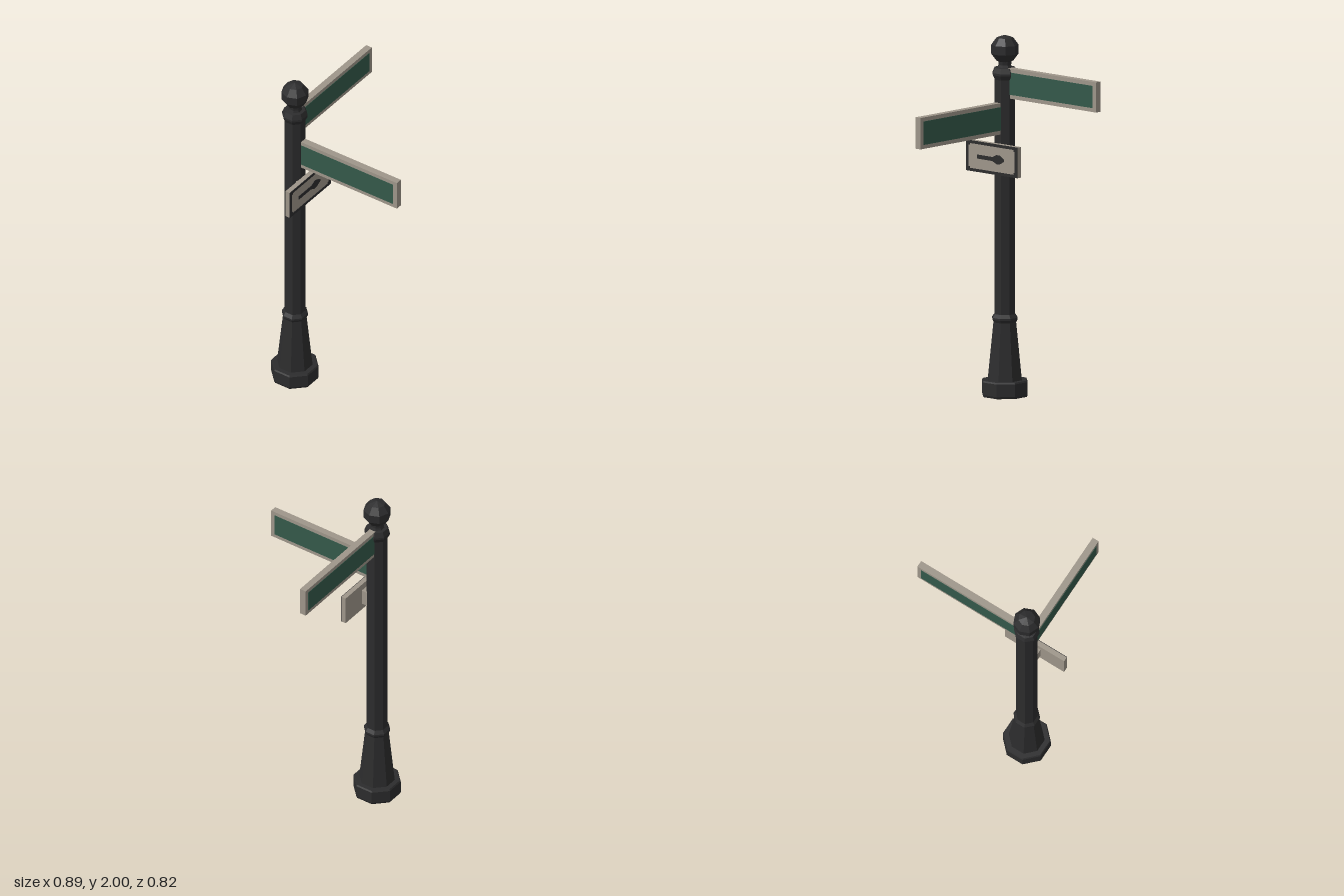
import * as THREE from 'three';

const black = new THREE.MeshStandardMaterial({ color: 0x2c2c2d });
const stone = new THREE.MeshStandardMaterial({ color: 0x9e968a });
const green = new THREE.MeshStandardMaterial({ color: 0x34594a });
black.name = 'blackIron';
stone.name = 'stoneGrey';
green.name = 'signGreen';

const POST_X = -0.254, POST_Z = -0.287;

function add(parent, name, geometry, material, x = 0, y = 0, z = 0) {
  const mesh = new THREE.Mesh(geometry, material);
  mesh.name = name;
  mesh.position.set(x, y, z);
  parent.add(mesh);
  return mesh;
}

// Faceted octagonal turning; pairs are [distance to flat, height]
function octagon(profile) {
  const k = 1 / Math.cos(Math.PI / 8);
  const pts = profile.map(([r, y]) => new THREE.Vector2(r * k, y));
  const g = new THREE.LatheGeometry(pts, 8, Math.PI / 8).toNonIndexed();
  g.computeVertexNormals();
  return g;
}

// Street blade along local +x from the post axis, green panel on both faces
function blade(name, length, height) {
  const g = new THREE.Group();
  g.name = name;
  add(g, 'bladeFrame', new THREE.BoxGeometry(length, height, 0.038), stone, length / 2);
  const start = 0.03, end = length - 0.024;
  for (const s of [1, -1]) {
    add(g, 'bladePanel', new THREE.BoxGeometry(end - start, height - 0.044, 0.004), green,
      (start + end) / 2, 0, s * 0.019);
  }
  return g;
}

function shapeOf(points) {
  return new THREE.Shape(points.map(([x, y]) => new THREE.Vector2(x, y)));
}

function plate(shape) {
  return new THREE.ExtrudeGeometry(shape, { depth: 0.003, bevelEnabled: false });
}

export function createModel() {
  const model = new THREE.Group();
  model.name = 'signpost';

  const post = new THREE.Group();
  post.name = 'post';
  post.position.set(POST_X, 0, POST_Z);
  model.add(post);

  // Plinth, tapered skirt and shaft
  add(post, 'plinth', octagon([[0, 0], [0.118, 0], [0.123, 0.012], [0.123, 0.082], [0.118, 0.09], [0, 0.09]]), black);
  add(post, 'skirt', octagon([[0.092, 0.088], [0.061, 0.41], [0.068, 0.425], [0.068, 0.435], [0.055, 0.455]]), black);
  add(post, 'shaft', octagon([[0.055, 0.44], [0.055, 1.76]]), black);

  // Collar, neck and ball
  add(post, 'collar', octagon([[0.055, 1.755], [0.066, 1.78], [0.066, 1.792], [0.055, 1.82], [0.038, 1.822],
    [0.034, 1.835], [0.036, 1.865], [0, 1.87]]), black);
  const ball = new THREE.SphereGeometry(0.079, 8, 5).toNonIndexed();
  ball.computeVertexNormals();
  add(post, 'ball', ball, black, 0, 1.921, 0);

  // Two blades at right angles
  const sideBlade = blade('sideBlade', 0.697, 0.167);
  sideBlade.position.y = 1.738;
  const frontBlade = blade('frontBlade', 0.697, 0.174);
  frontBlade.position.y = 1.543;
  frontBlade.rotation.y = -Math.PI / 2;
  post.add(sideBlade, frontBlade);

  // Direction sign on a bracket
  const sign = new THREE.Group();
  sign.name = 'directionSign';
  sign.position.set(-0.2555, 1.325, -0.198);
  model.add(sign);
  add(sign, 'signBoard', new THREE.BoxGeometry(0.384, 0.17, 0.028), stone);
  add(sign, 'bracket', new THREE.BoxGeometry(0.08, 0.09, 0.05), stone, 0, 0, -0.03);

  // Painted border with notched inner corners
  const border = shapeOf([[-0.192, -0.085], [0.192, -0.085], [0.192, 0.085], [-0.192, 0.085]]);
  const w = 0.173, h = 0.069, n = 0.01;
  border.holes.push(shapeOf([
    [-w + n, -h], [-w + n, -h + n], [-w, -h + n], [-w, h - n], [-w + n, h - n], [-w + n, h],
    [w - n, h], [w - n, h - n], [w, h - n], [w, -h + n], [w - n, -h + n], [w - n, -h],
  ]));
  add(sign, 'signBorder', plate(border), black, 0, 0, 0.0135);

  // Arrow pointing to the model's left
  const arrow = shapeOf([
    [-0.108, -0.011], [0.006, -0.011], [0.036, -0.025], [0.058, -0.025], [0.092, -0.006],
    [0.092, 0.006], [0.058, 0.025], [0.036, 0.025], [0.006, 0.011], [-0.108, 0.011],
  ]);
  add(sign, 'arrow', plate(arrow), black, 0, 0, 0.0135);

  return model;
}
